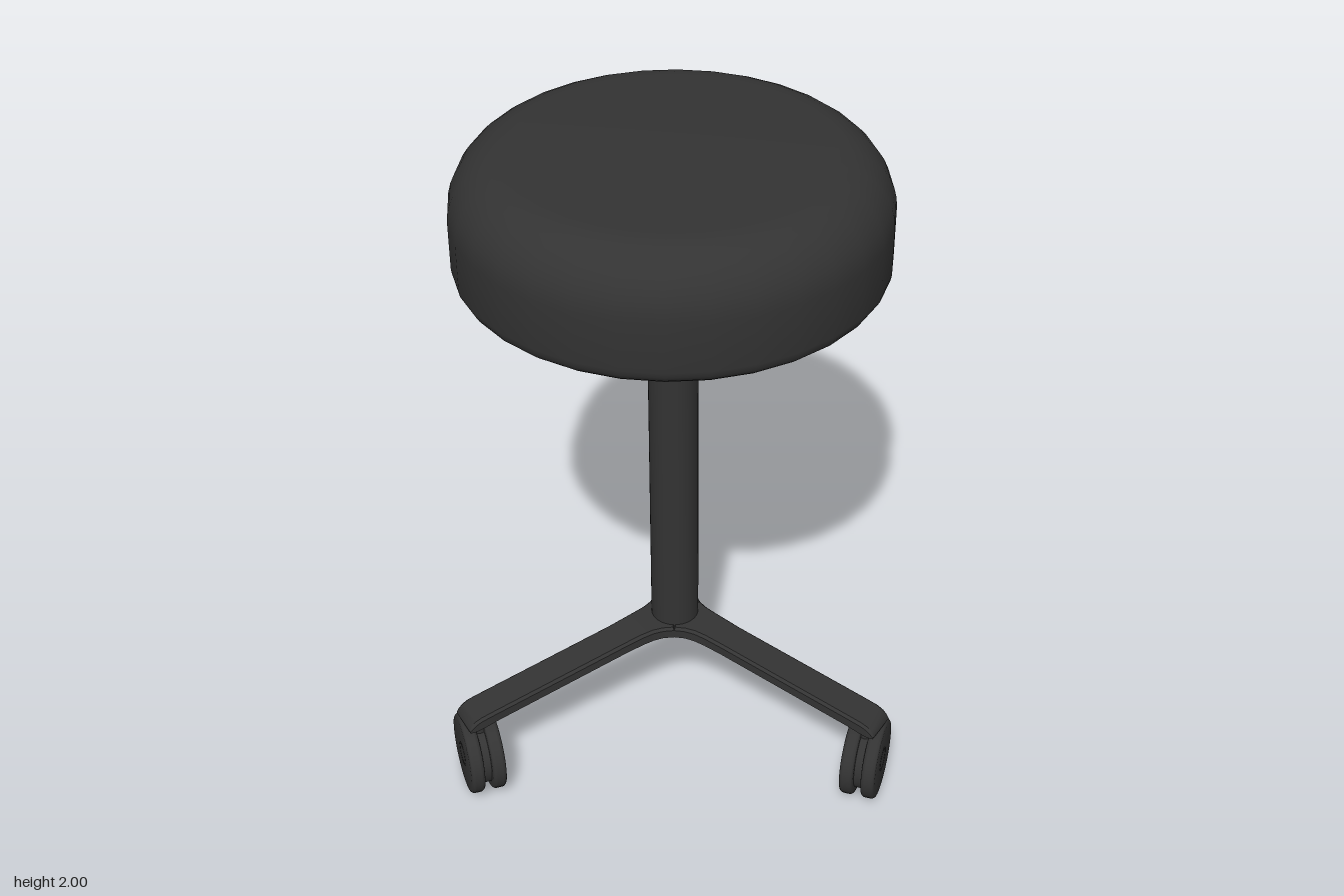
import * as THREE from 'three';
import { toCreasedNormals } from 'three/addons/utils/BufferGeometryUtils.js';

const material = new THREE.MeshStandardMaterial({ color: 0x333333 });
const deg = THREE.MathUtils.degToRad;

function part(name, geometry, parent) {
  const mesh = new THREE.Mesh(geometry, material);
  mesh.name = name;
  parent.add(mesh);
  return mesh;
}

function lathe(points, segments, crease) {
  const g = new THREE.LatheGeometry(points.map(([r, y]) => new THREE.Vector2(r, y)), segments);
  return toCreasedNormals(g, deg(crease));
}

// Points of a quarter ellipse from angle a0 to a1 (degrees) in a lathe profile
function arc(cx, cy, rx, ry, a0, a1, n) {
  return Array.from({ length: n + 1 }, (_, i) => {
    const a = deg(a0 + (a1 - a0) * i / n);
    return [cx + rx * Math.cos(a), cy + ry * Math.sin(a)];
  });
}

// Sloping leg along +x, lofted from chamfered sections; its root flares to meet the other legs
function legGeometry() {
  const stations = [ // distance, half width, top, bottom
    [0, 0.009, 0.41, 0.375],
    [0.045, 0.078, 0.41, 0.375],
    [0.075, 0.066, 0.41, 0.375],
    [0.105, 0.06, 0.409, 0.373],
    [0.14, 0.057, 0.404, 0.368],
    [0.2, 0.055, 0.392, 0.357],
    [0.64, 0.055, 0.31, 0.274],
    [0.68, 0.055, 0.302, 0.264],
    [0.7, 0.054, 0.293, 0.26],
    [0.713, 0.053, 0.281, 0.26],
    [0.72, 0.051, 0.268, 0.26],
  ];
  const n = 6, positions = [], index = [];
  stations.forEach(([x, w, top, bottom]) => {
    const c = Math.min(0.008, (top - bottom) / 2);
    [[-w, bottom], [w, bottom], [w, top - c], [w - c, top], [c - w, top], [-w, top - c]]
      .forEach(([z, y]) => positions.push(x, y, z));
  });
  for (let i = 0; i < stations.length - 1; i++) {
    for (let j = 0; j < n; j++) {
      const a = i * n + j, b = i * n + (j + 1) % n;
      index.push(a, a + n, b, b, a + n, b + n);
    }
  }
  const end = (stations.length - 1) * n;
  for (let j = 1; j < n - 1; j++) index.push(end, end + j + 1, end + j);
  const g = new THREE.BufferGeometry();
  g.setAttribute('position', new THREE.Float32BufferAttribute(positions, 3));
  g.setIndex(index);
  return toCreasedNormals(g, deg(35));
}

// Rounded wheel with a grooved hub cap on its outer (+z) face
function wheelGeometry() {
  const R = 0.124, h = 0.021, e = 0.012;
  const g = lathe([
    [0, -h], ...arc(R - e, e - h, e, e, -90, 0, 4), ...arc(R - e, h - e, e, e, 0, 90, 4),
    [0.037, h], [0.036, h - 0.005], [0.033, h - 0.005], [0.032, h], [0, h + 0.001],
  ], 32, 35);
  return g.rotateX(Math.PI / 2);
}

function createCaster(wheelGeo) {
  const caster = new THREE.Group();
  caster.name = 'caster';
  for (const side of [1, -1]) {
    const wheel = part('wheel', wheelGeo, caster);
    wheel.position.set(0, 0.129, side * 0.033);
    if (side < 0) wheel.rotation.y = Math.PI;
  }
  // housing between the wheels and the swivel pin into the leg
  const housing = new THREE.CylinderGeometry(0.1, 0.1, 0.03, 28).rotateX(Math.PI / 2);
  part('casterHousing', housing, caster).position.y = 0.129;
  part('swivelPin', new THREE.CylinderGeometry(0.03, 0.03, 0.07, 16), caster).position.y = 0.24;
  return caster;
}

export function createModel() {
  const model = new THREE.Group();
  model.name = 'stool';
  const stool = new THREE.Group();
  stool.name = 'stoolBody';
  stool.position.set(0.01, 0, -0.083);
  model.add(stool);

  // Round cushion: tight lower edge, soft upper edge
  part('seat', lathe([
    [0, 1.64], ...arc(0.54, 1.69, 0.06, 0.05, -90, 0, 5),
    ...arc(0.44, 1.83, 0.16, 0.168, 0, 90, 9), [0, 2],
  ], 32, 40), stool);

  // Central column
  part('column', new THREE.CylinderGeometry(0.072, 0.072, 1.26, 32), stool).position.y = 1.02;

  // Three legs, each with a caster swivelled its own way
  const legGeo = legGeometry(), wheelGeo = wheelGeometry();
  [[-86, 18], [34, 34], [154, 54]].forEach(([legAngle, casterAngle]) => {
    const arm = new THREE.Group();
    arm.name = 'legAssembly';
    arm.rotation.y = deg(legAngle);
    part('leg', legGeo, arm);
    const caster = createCaster(wheelGeo);
    caster.position.x = 0.676;
    caster.rotation.y = deg(casterAngle - legAngle);
    arm.add(caster);
    stool.add(arm);
  });
  return model;
}
